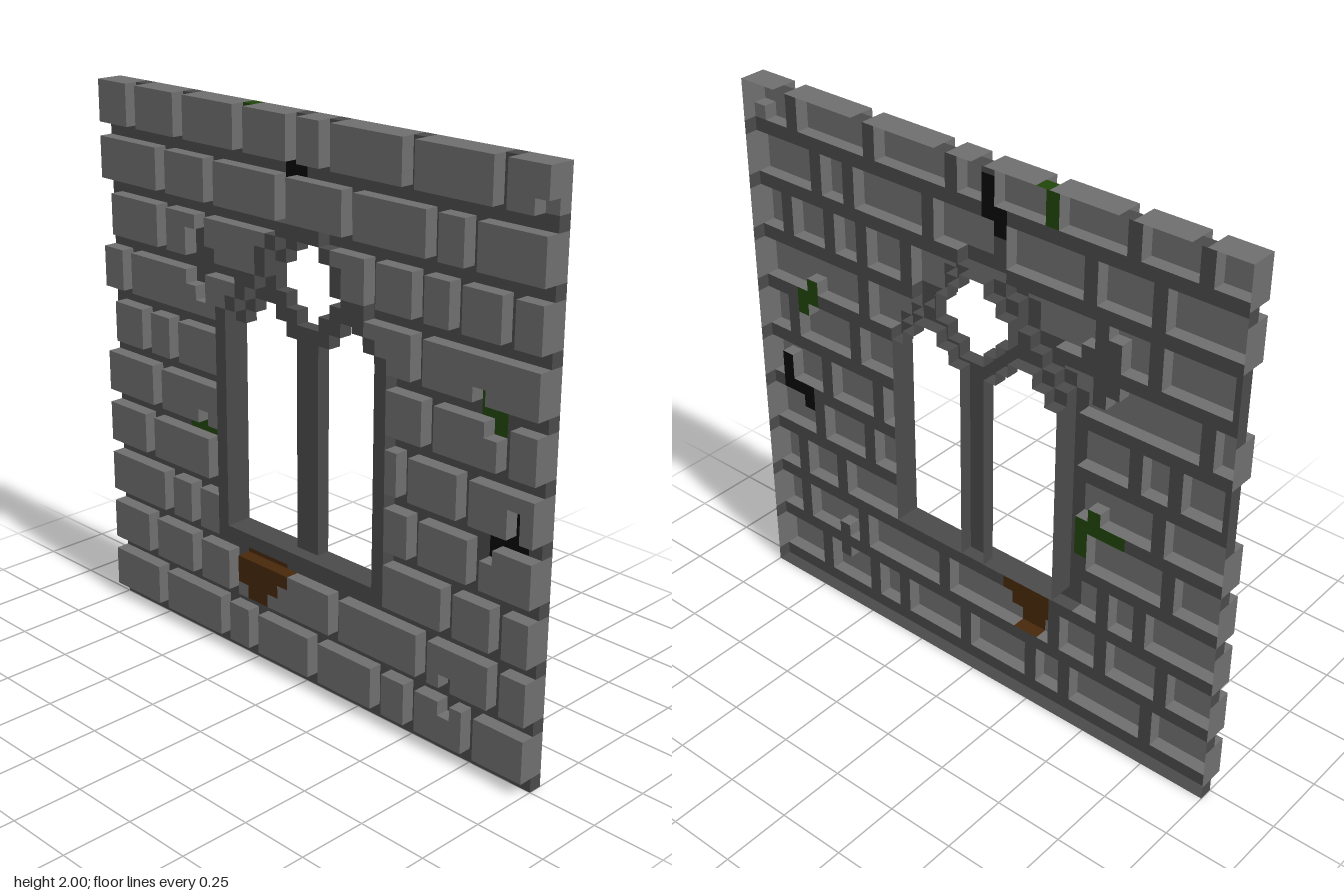
import * as THREE from 'three';

const N = 40, U = 0.05;

// Upright brick joints of each course, counted in cells from the +z end
const JOINTS = [
  [4, 9, 12, 18, 24, 27, 34], [2, 8, 16, 26, 30, 35], [2, 6, 30, 33], [4, 9, 28, 35],
  [5, 10, 34], [2, 8, 32, 35, 39], [9, 37], [2, 6, 9, 13, 29, 33, 39],
  [5, 8, 15, 21, 28, 33], [3, 10, 17, 20, 25, 31, 36],
];

// Fill lists: [first column, last column, first row, last row]
const FRAME = [[12, 27, 9, 25], [13, 26, 26, 26], [14, 25, 27, 28], [16, 23, 29, 30],
  [17, 22, 31, 31], [18, 21, 32, 32]];
const OPENINGS = [
  [13, 18, 10, 24], [14, 17, 25, 25], [15, 16, 26, 26],
  [21, 26, 10, 24], [22, 25, 25, 25], [23, 24, 26, 26],
  [19, 20, 26, 26], [18, 21, 27, 27], [17, 22, 28, 29], [18, 21, 30, 30], [19, 20, 31, 31]];
const CRACKS = [[6, 6, 3, 5], [28, 28, 29, 29], [29, 30, 29, 30], [30, 30, 27, 27], [29, 29, 26, 27]];
const CHIPS = [[0, 0, 37, 37]];
const SOOT = [[20, 20, 36, 38], [21, 21, 35, 36], [1, 1, 16, 18], [2, 3, 16, 16], [3, 3, 15, 15]];
const MOSS = [[25, 25, 37, 39], [3, 3, 23, 24], [4, 4, 24, 25],
  [28, 28, 14, 16], [28, 31, 16, 16], [29, 29, 17, 17]];
const RUST_JOINT = [[22, 25, 8, 8]];
const RUST_BRICK = [[21, 25, 7, 7], [22, 25, 6, 6], [23, 24, 5, 5]];

// The x plane each kind of cell reaches back to; the wall is open towards +x
const BACK = { brick: -U, jamb: -U, rustBrick: -U, mortar: 0, tracery: 0, chip: 0, soot: 0, moss: 0, rustJoint: 0 };

function layout() {
  const g = [];
  for (let r = 0; r < N; r++) {
    g.push([]);
    for (let c = 0; c < N; c++) {
      const joint = r % 4 === 0 || JOINTS[Math.floor(r / 4)].includes(c);
      g[r].push(joint ? 'mortar' : 'brick');
    }
  }
  const fill = (list, kind) => {
    for (const [c0, c1, r0, r1] of list)
      for (let r = r0; r <= r1; r++) for (let c = c0; c <= c1; c++) g[r][c] = kind;
  };
  const inFrame = (r, c) => FRAME.some(([c0, c1, r0, r1]) => c >= c0 && c <= c1 && r >= r0 && r <= r1);
  fill(CRACKS, 'mortar');
  fill(CHIPS, 'chip');
  fill(FRAME, 'tracery');
  // The outer ring of the window is deeper than its tracery
  for (let r = 0; r < N; r++) {
    for (let c = 0; c < N; c++) {
      const inside = inFrame(r - 1, c) && inFrame(r + 1, c) && inFrame(r, c - 1) && inFrame(r, c + 1);
      if (inFrame(r, c) && !inside) g[r][c] = 'jamb';
    }
  }
  fill(OPENINGS, 'open');
  fill(SOOT, 'soot');
  fill(MOSS, 'moss');
  fill(RUST_JOINT, 'rustJoint');
  fill(RUST_BRICK, 'rustBrick');
  return g;
}

// Back face of every cell of one kind, plus sides wherever the neighbour is shallower
function shell(g, kind) {
  const pos = [];
  const quad = (a, b, c, d) => pos.push(...a, ...b, ...c, ...a, ...c, ...d);
  const reach = (r, c) => BACK[g[r]?.[c]] ?? U; // openings and outer edges
  const b = BACK[kind];
  for (let r = 0; r < N; r++) {
    for (let c = 0; c < N; c++) {
      if (g[r][c] !== kind) continue;
      const y0 = r * U, y1 = y0 + U, z1 = 1 - c * U, z0 = z1 - U;
      quad([b, y0, z0], [b, y0, z1], [b, y1, z1], [b, y1, z0]);
      let f = reach(r, c - 1);
      if (f > b) quad([b, y0, z1], [f, y0, z1], [f, y1, z1], [b, y1, z1]);
      f = reach(r, c + 1);
      if (f > b) quad([f, y0, z0], [b, y0, z0], [b, y1, z0], [f, y1, z0]);
      f = reach(r + 1, c);
      if (f > b) quad([b, y1, z1], [f, y1, z1], [f, y1, z0], [b, y1, z0]);
      f = reach(r - 1, c);
      if (f > b) quad([b, y0, z0], [f, y0, z0], [f, y0, z1], [b, y0, z1]);
    }
  }
  const geo = new THREE.BufferGeometry();
  geo.setAttribute('position', new THREE.Float32BufferAttribute(pos, 3));
  geo.computeVertexNormals();
  return geo;
}

export function createModel() {
  const group = new THREE.Group();
  group.name = 'gothicWindowWall';
  const g = layout();
  const mat = (name, color) => {
    const m = new THREE.MeshStandardMaterial({ color, side: THREE.DoubleSide });
    m.name = name;
    return m;
  };
  const stone = mat('brickGrey', 0x6f6f6f);
  const mortar = mat('mortarGrey', 0x4a4a4a);
  const rust = mat('rustBrown', 0x48290a);
  const add = (name, kind, material) => {
    const mesh = new THREE.Mesh(shell(g, kind), material);
    mesh.name = name;
    group.add(mesh);
  };
  add('bricks', 'brick', stone);
  add('chippedBrick', 'chip', stone);
  add('mortarGrid', 'mortar', mortar);
  add('windowSurround', 'jamb', mortar);
  add('windowTracery', 'tracery', mortar);
  add('sootCracks', 'soot', mat('sootBlack', 0x080808));
  add('mossPatches', 'moss', mat('mossGreen', 0x21460b));
  add('rustedJoint', 'rustJoint', rust);
  add('rustedBrick', 'rustBrick', rust);
  return group;
}
